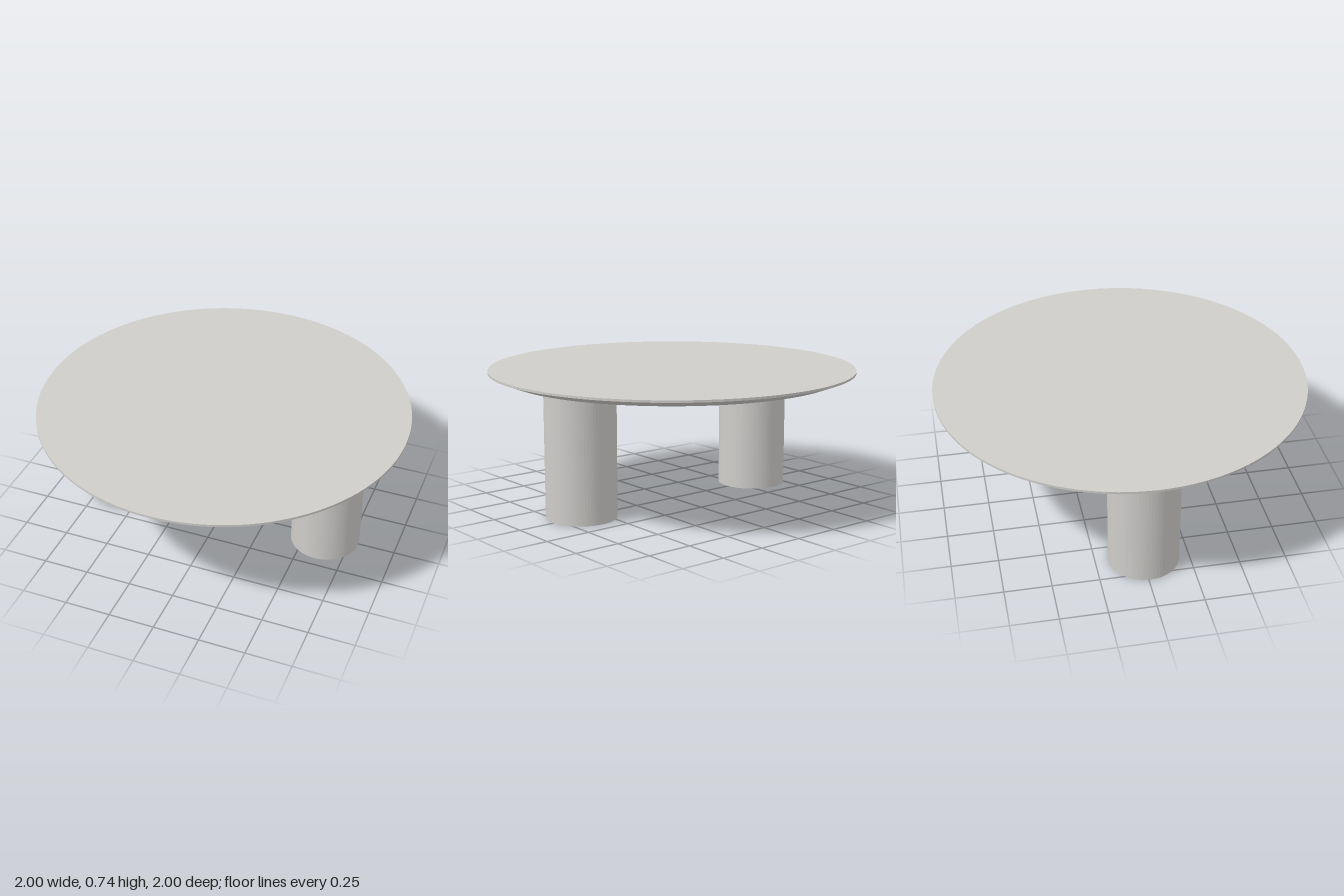
import * as THREE from 'three';

export function createModel() {
  const table = new THREE.Group();
  table.name = 'roundTable';

  const stone = new THREE.MeshStandardMaterial({ color: 0xcfcdca });
  stone.name = 'pale warm grey';
  const legStone = stone.clone(); // same colour, faceted sides
  legStone.flatShading = true;

  const topY = 0.743, rimY = 0.731, underY = 0.698;
  const legRadius = 0.19, legX = 0.608, legZ = 0.01;

  // Round top: thin upright rim above a wide bevelled underside
  const tabletop = new THREE.Group();
  tabletop.name = 'tabletop';
  const addLayer = (name, rTop, rBottom, yTop, yBottom) => {
    const mesh = new THREE.Mesh(
      new THREE.CylinderGeometry(rTop, rBottom, yTop - yBottom, 128), stone);
    mesh.position.y = (yTop + yBottom) / 2;
    mesh.name = name;
    tabletop.add(mesh);
  };
  addLayer('rim', 1, 1, topY, rimY);
  addLayer('bevel', 1, 0.913, rimY, underY);
  table.add(tabletop);

  // Two thick column legs
  for (const [name, side] of [['leftLeg', 1], ['rightLeg', -1]]) {
    const leg = new THREE.Mesh(
      new THREE.CylinderGeometry(legRadius, legRadius, underY, 72), legStone);
    leg.position.set(side * legX, underY / 2, legZ);
    leg.name = name;
    table.add(leg);
  }
  return table;
}
